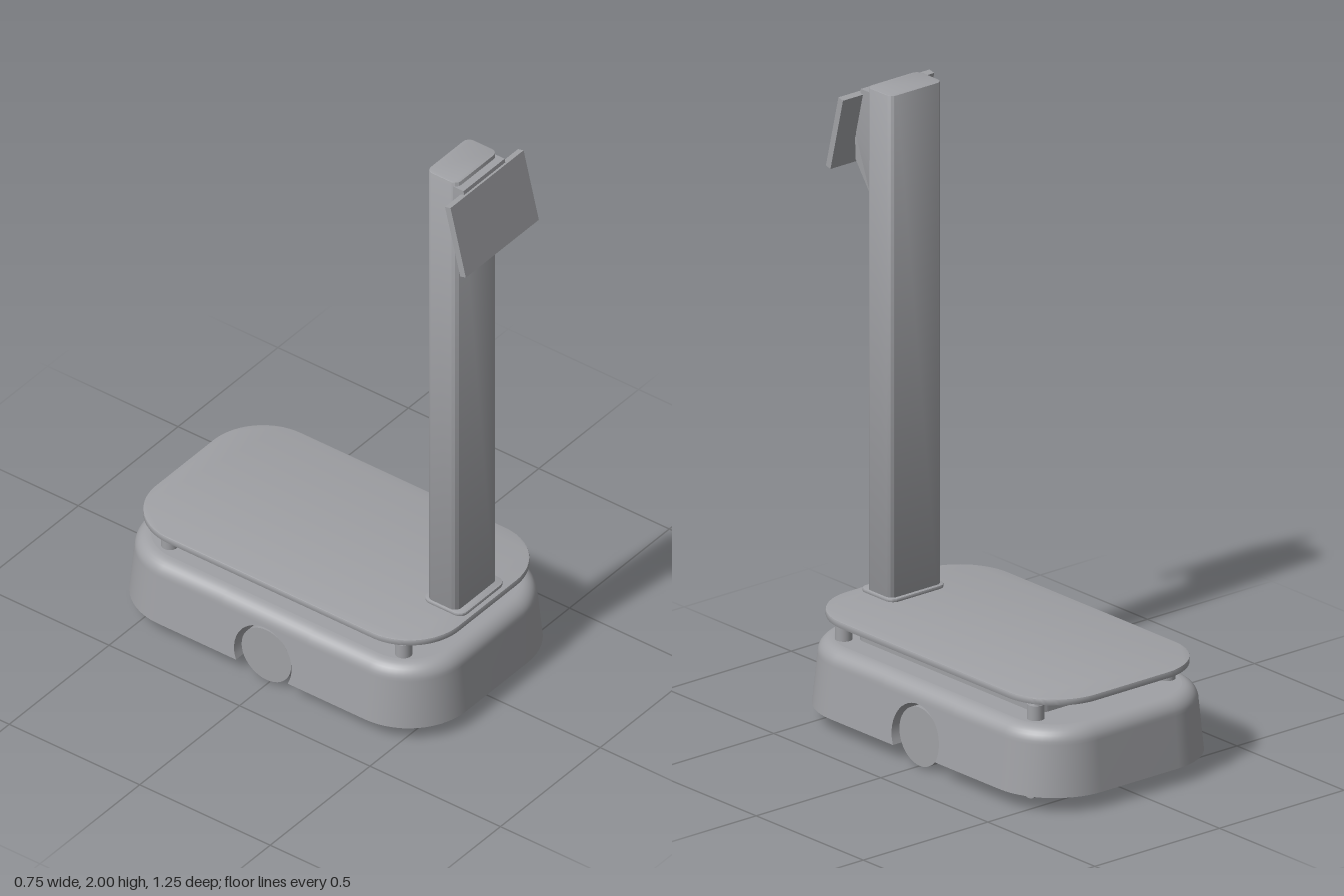
import * as THREE from 'three';
import { toCreasedNormals } from 'three/addons/utils/BufferGeometryUtils.js';

const grey = new THREE.MeshStandardMaterial({ color: 0xa0a1a5, side: THREE.DoubleSide });
grey.name = 'grey';

const V = (x, y, z) => new THREE.Vector3(x, y, z);

// Surface through rows of points that all have the same length
function loft(rows, closed) {
  const n = rows[0].length, index = [];
  for (let k = 0; k < rows.length - 1; k++) {
    for (let i = 0; i < (closed ? n : n - 1); i++) {
      const j = (i + 1) % n, a = k * n + i, b = k * n + j;
      index.push(a, a + n, b, b, a + n, b + n);
    }
  }
  const g = new THREE.BufferGeometry().setFromPoints(rows.flat());
  g.setIndex(index);
  g.computeVertexNormals();
  return g;
}

// Flat horizontal face through points, facing up or down
function flat(points, y, up) {
  const s = up ? -1 : 1;
  const g = new THREE.ShapeGeometry(new THREE.Shape(points.map(p => new THREE.Vector2(p.x, s * p.z))));
  return g.rotateX(s * Math.PI / 2).translate(0, y, 0);
}

// Upright slab with rounded plan corners and a small bevel
function slab(hw, z0, z1, r, y0, y1, bevel) {
  const w = hw - bevel, a = -z1 + bevel, b = -z0 - bevel, s = new THREE.Shape();
  r -= bevel;
  s.absarc(w - r, b - r, r, 0, Math.PI / 2);
  s.absarc(-w + r, b - r, r, Math.PI / 2, Math.PI);
  s.absarc(-w + r, a + r, r, Math.PI, Math.PI * 1.5);
  s.absarc(w - r, a + r, r, Math.PI * 1.5, Math.PI * 2);
  const g = new THREE.ExtrudeGeometry(s, {
    depth: y1 - y0 - 2 * bevel, bevelEnabled: bevel > 0,
    bevelSize: bevel, bevelThickness: bevel, bevelSegments: 2, curveSegments: 14,
  });
  g.rotateX(-Math.PI / 2).translate(0, y0 + bevel, 0);
  return toCreasedNormals(g, 0.6);
}

export function createModel() {
  const model = new THREE.Group();
  const add = (name, geometry, x = 0, y = 0, z = 0, parent = model) => {
    const m = new THREE.Mesh(geometry, grey);
    m.name = name;
    m.position.set(x, y, z);
    parent.add(m);
    return m;
  };

  // Base shell: columns around the outline, with wheel arches in the long sides
  const R = 0.22, HX = 0.375, ZF = 0.605, ZB = -0.63, Y0 = 0.05, Y1 = 0.215, F = 0.05;
  const arch = { z: -0.01, y: 0.098, r: 0.11, n: 28, inner: 0.23 };
  const columns = [];
  const corner = (sx, sz, start) => {
    for (let i = 0; i <= 14; i++) {
      const a = start + (i / 14) * Math.PI / 2;
      const z = sz > 0 ? ZF - R : ZB + R;
      columns.push({ x: sx * (HX - R), z, zLow: z, yLow: Y0, nx: Math.cos(a), nz: Math.sin(a), side: 0 });
    }
  };
  const archColumns = side => {
    const drop = Math.asin((arch.y - Y0) / arch.r);
    for (let i = 0; i <= arch.n; i++) {
      const t = side < 0 ? i / arch.n : 1 - i / arch.n;
      const a = -drop + t * (Math.PI + 2 * drop);
      columns.push({
        x: side * (HX - R), z: arch.z + 0.17 * (1 - 2 * t),
        zLow: arch.z + arch.r * Math.cos(a), yLow: arch.y + arch.r * Math.sin(a),
        nx: side, nz: 0, side,
      });
    }
  };
  corner(1, 1, 0);
  corner(-1, 1, Math.PI / 2);
  archColumns(-1);
  corner(-1, -1, Math.PI);
  corner(1, -1, Math.PI * 1.5);
  archColumns(1);

  const place = (c, y, z, inset) => V(c.x + c.nx * (R - inset), y, z + c.nz * (R - inset));
  const slope = y => (y - Y0) * 0.1;
  const low = columns.map(c => place(c, c.yLow, c.zLow, slope(c.yLow)));
  const rows = [low];
  for (let k = 0; k <= 8; k++) {
    const a = (k / 8) * Math.PI / 2;
    const inset = slope(Y1) + F * (1 - Math.cos(a));
    rows.push(columns.map(c => place(c, Y1 + F * Math.sin(a), c.z, inset)));
  }
  const base = new THREE.Group();
  base.name = 'base';
  model.add(base);
  add('baseShell', loft(rows, true), 0, 0, 0, base);
  add('baseTop', flat(rows[rows.length - 1], Y1 + F, true), 0, 0, 0, base);

  // Underside with notches for the wheels
  const under = [];
  columns.forEach((c, i) => {
    if (!c.side) return under.push(low[i]);
    const first = columns[i - 1].side !== c.side;
    const last = i === columns.length - 1 || columns[i + 1].side !== c.side;
    const inside = V(c.side * arch.inner, Y0, c.zLow);
    if (first) under.push(low[i], inside);
    if (last) under.push(inside, low[i]);
  });
  add('underside', flat(under, Y0, false), 0, 0, 0, base);

  for (const side of [1, -1]) {
    // Wheel arch lining and drive wheel
    const edge = low.filter((p, i) => columns[i].side === side);
    const inner = edge.map(p => V(side * arch.inner, p.y, p.z));
    add('wheelArch', loft([inner, edge], false), 0, 0, 0, base);
    const hub = inner.map(() => V(side * arch.inner, arch.y, arch.z));
    add('wheelArchBack', loft([inner, hub], false), 0, 0, 0, base);
    add('driveWheel', new THREE.CylinderGeometry(0.095, 0.095, 0.11, 40).rotateZ(Math.PI / 2), side * 0.297, 0.1, arch.z);

    for (const end of [1, -1]) {
      // Corner casters and the deck supports above them
      add('caster', new THREE.CylinderGeometry(0.04, 0.04, 0.05, 24).rotateZ(Math.PI / 2), side * 0.247, 0.04, end * 0.425);
      add('deckSupport', new THREE.CylinderGeometry(0.027, 0.027, 0.05, 24), side * 0.263, 0.288, end * 0.448);
      add('deckSupportTop', new THREE.CylinderGeometry(0.018, 0.024, 0.024, 24), side * 0.263, 0.325, end * 0.448);
    }
  }
  add('frontCaster', new THREE.CylinderGeometry(0.04, 0.04, 0.05, 24).rotateZ(Math.PI / 2), 0, 0.04, 0.478);

  // Lift block and deck
  add('liftBlock', slab(0.235, -0.43, 0.43, 0.04, 0.26, 0.336, 0));
  add('deck', slab(0.334, -0.592, 0.57, 0.19, 0.334, 0.355, 0.003));

  // Column with its foot flange
  add('columnFoot', slab(0.112, 0.4, 0.555, 0.03, 0.354, 0.366, 0.003));
  add('column', slab(0.105, 0.412, 0.53, 0.025, 0.355, 2, 0.003));

  // Screen bracket: side profile across the column, narrowing at the bottom
  const profile = [[0.5, 1.985], [0.555, 1.985], [0.582, 1.84], [0.58, 1.75], [0.537, 1.64], [0.5, 1.64], [0.5, 1.75]];
  const bracket = new THREE.ExtrudeGeometry(
    new THREE.Shape(profile.map(p => new THREE.Vector2(...p))), { depth: 0.206, bevelEnabled: false });
  bracket.translate(0, 0, -0.103);
  const pos = bracket.attributes.position;
  for (let i = 0; i < pos.count; i++) if (pos.getY(i) < 1.65) pos.setZ(i, pos.getZ(i) * 0.78);
  bracket.rotateY(-Math.PI / 2);
  add('screenBracket', toCreasedNormals(bracket, 0.3));

  // Tilted screen
  add('screen', new THREE.BoxGeometry(0.366, 0.246, 0.022), 0, 1.852, 0.585).rotation.x = -0.24;

  return model;
}
